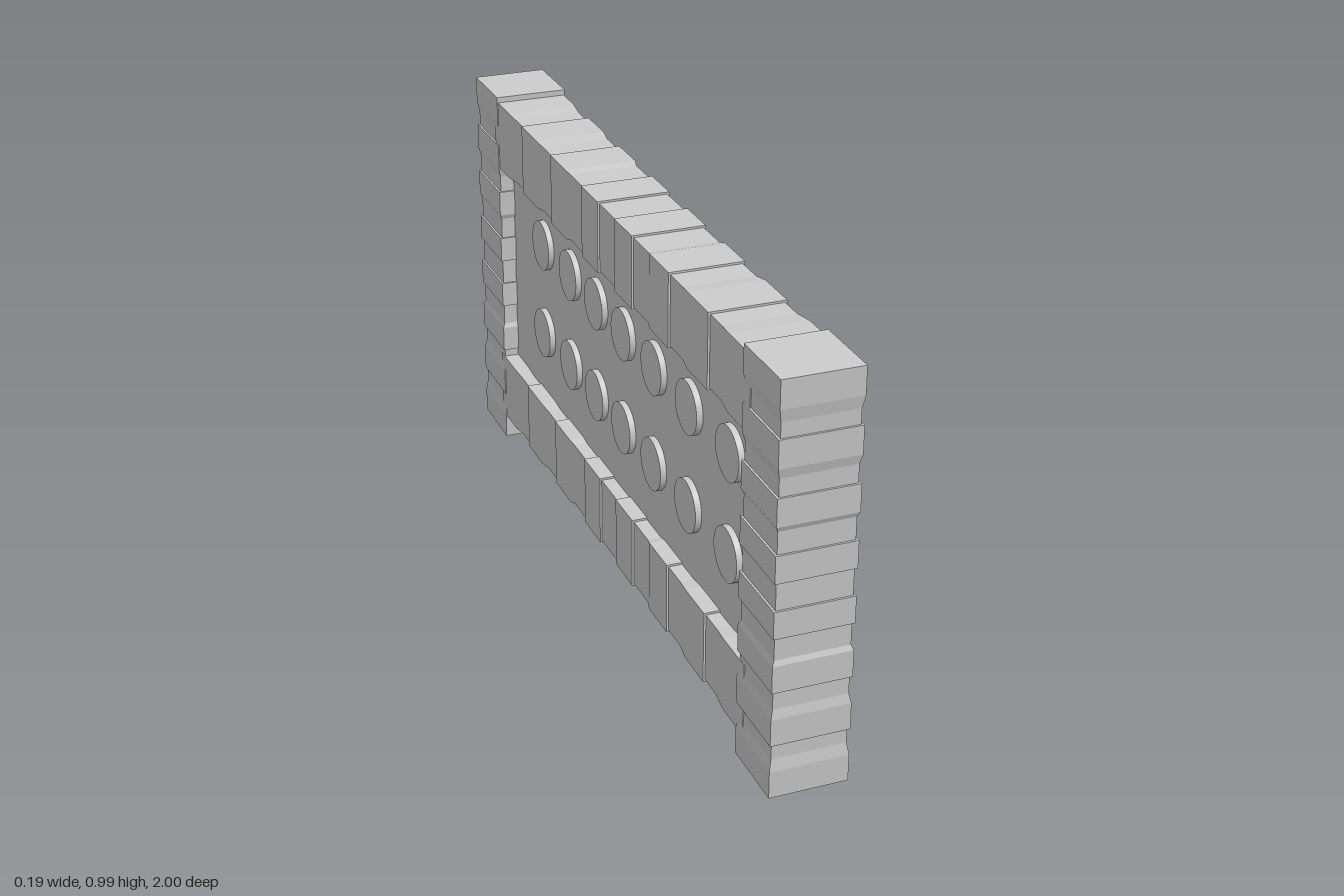
import * as THREE from 'three';

const material = new THREE.MeshStandardMaterial({ color: 0xcccccc, flatShading: true });

const LENGTH = 0.992; // length of an unscaled beam
const COURSES = 15; // alternating wide and narrow courses
const SLOPES = [0.03, 0.023, 0.012]; // chamfer lengths, from the ends to the middle

// Square beam of stacked courses along y, centred, one unit wide
function beamGeometry() {
  const step = LENGTH / COURSES;
  const wide = Math.SQRT1_2;
  const narrow = wide * 0.945;
  const half = [];
  // Lower half, from the bottom cap to the middle narrow course
  for (let i = 0; i < 4; i++) {
    const y = -LENGTH / 2 + 2 * i * step;
    half.push([wide, y], [wide, y + step]);
    half.push([narrow, y + step + (SLOPES[i] ?? 0)]);
    if (i < 3) half.push([narrow, y + 2 * step]);
  }
  const upper = half.map(([r, y]) => [r, -y]).reverse();
  const profile = [[0, -LENGTH / 2], ...half, ...upper, [0, LENGTH / 2]];
  const points = profile.map(([r, y]) => new THREE.Vector2(r, y));
  const geometry = new THREE.LatheGeometry(points, 4, Math.PI / 4).toNonIndexed();
  geometry.computeVertexNormals();
  return geometry;
}

function add(group, name, geometry, x, y, z) {
  const mesh = new THREE.Mesh(geometry, material);
  mesh.name = name;
  mesh.position.set(x, y, z);
  group.add(mesh);
  return mesh;
}

export function createModel() {
  const group = new THREE.Group();
  group.name = 'stonePanelWall';

  // Upright posts at both ends
  const post = beamGeometry().scale(0.187, 1, 0.183);
  for (const s of [1, -1]) {
    add(group, s > 0 ? 'frontPost' : 'backPost', post, 0, LENGTH / 2, s * 0.9085);
  }

  // Long rails, the same beam stretched and laid along z
  const rail = beamGeometry().scale(0.181, 1.71, 0.181).rotateX(Math.PI / 2);
  add(group, 'bottomRail', rail, 0, 0.153, 0);
  add(group, 'topRail', rail, 0, 0.887, 0);

  // Recessed infill panel
  add(group, 'panel', new THREE.BoxGeometry(0.104, 0.66, 1.7), 0, 0.52, 0);

  // Two rows of round studs passing through the panel
  const stud = new THREE.CylinderGeometry(0.065, 0.065, 0.134, 32).rotateZ(Math.PI / 2);
  const studMaterial = new THREE.MeshStandardMaterial({ color: 0xcccccc });
  for (const y of [0.422, 0.67]) {
    for (const z of [0.68, 0.445, 0.23, 0.03, -0.16, -0.35, -0.56]) {
      add(group, 'stud', stud, 0, y, z).material = studMaterial;
    }
  }

  return group;
}
